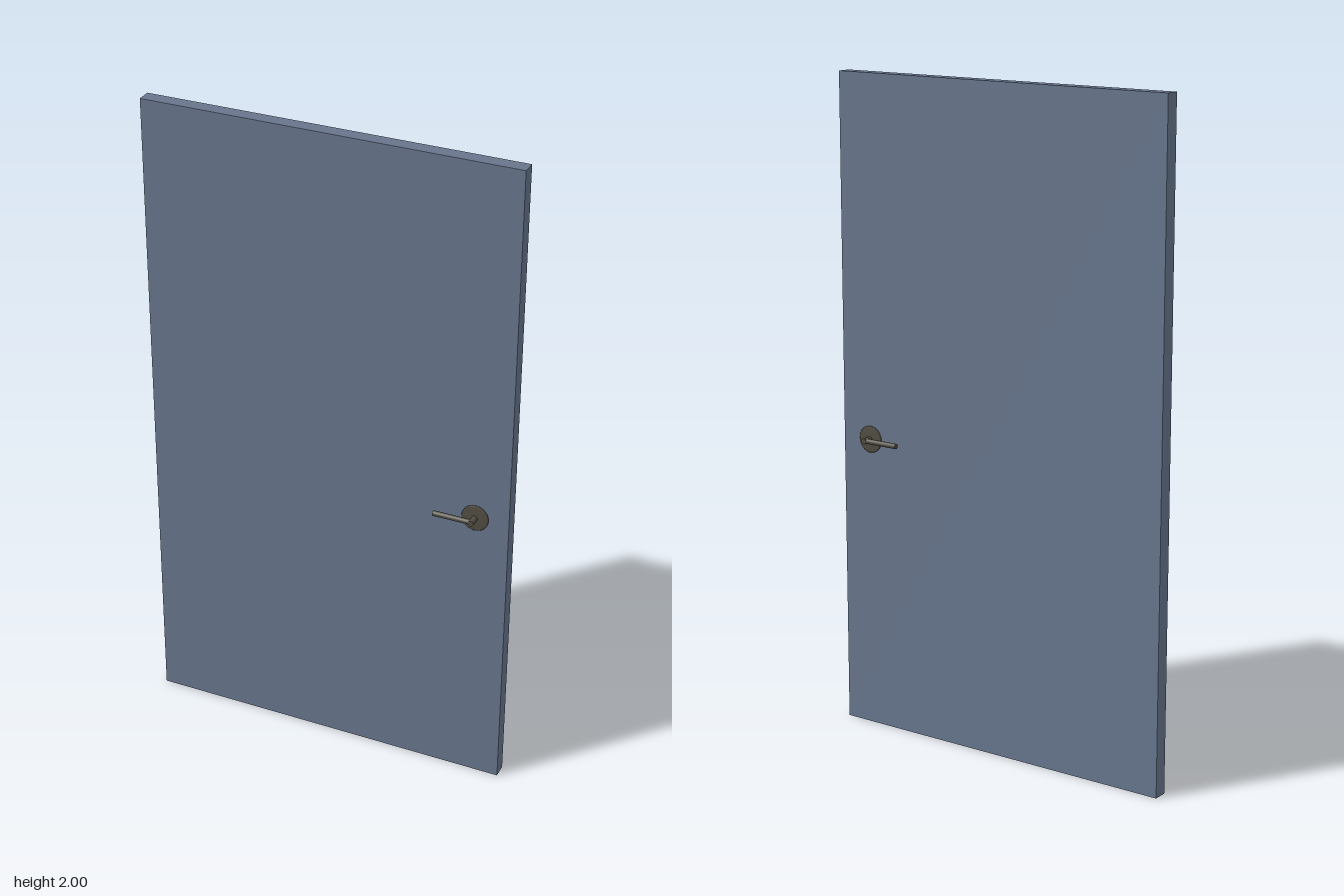
import * as THREE from 'three';

export function createModel() {
  const model = new THREE.Group();
  const paint = new THREE.MeshStandardMaterial({ color: 0x67758c });
  paint.name = 'slate blue paint';
  const metal = new THREE.MeshStandardMaterial({ color: 0x504c42 });
  metal.name = 'dark bronze';

  const add = (parent, name, geometry, material) => {
    const mesh = new THREE.Mesh(geometry, material);
    mesh.name = name;
    parent.add(mesh);
    return mesh;
  };

  // Door slab
  const half = 0.022;
  add(model, 'doorLeaf', new THREE.BoxGeometry(1.13, 2, half * 2), paint).position.y = 1;

  // A matching lever handle on each face
  for (const side of [1, -1]) {
    const handle = new THREE.Group();
    handle.name = side > 0 ? 'frontHandle' : 'backHandle';
    handle.position.set(0.463, 0.905, 0);
    model.add(handle);

    // Round rose with a small bevel
    const profile = [[0, 0], [0.041, 0], [0.041, 0.004], [0.038, 0.007], [0, 0.007]];
    const roseGeometry = new THREE.LatheGeometry(profile.map(([r, h]) => new THREE.Vector2(r, h)), 32);
    const rose = add(handle, 'rose', roseGeometry, metal);
    rose.rotation.x = side * Math.PI / 2;
    rose.position.z = side * half;

    // Neck out from the rose
    const neck = add(handle, 'neck', new THREE.CylinderGeometry(0.009, 0.009, 0.036, 20), metal);
    neck.rotation.x = Math.PI / 2;
    neck.position.z = side * 0.04;

    // Lever pointing to the middle of the door
    const lever = add(handle, 'lever', new THREE.CylinderGeometry(0.008, 0.008, 0.118, 20), metal);
    lever.rotation.z = Math.PI / 2;
    lever.position.set(-0.059, 0, side * 0.05);
  }
  return model;
}
